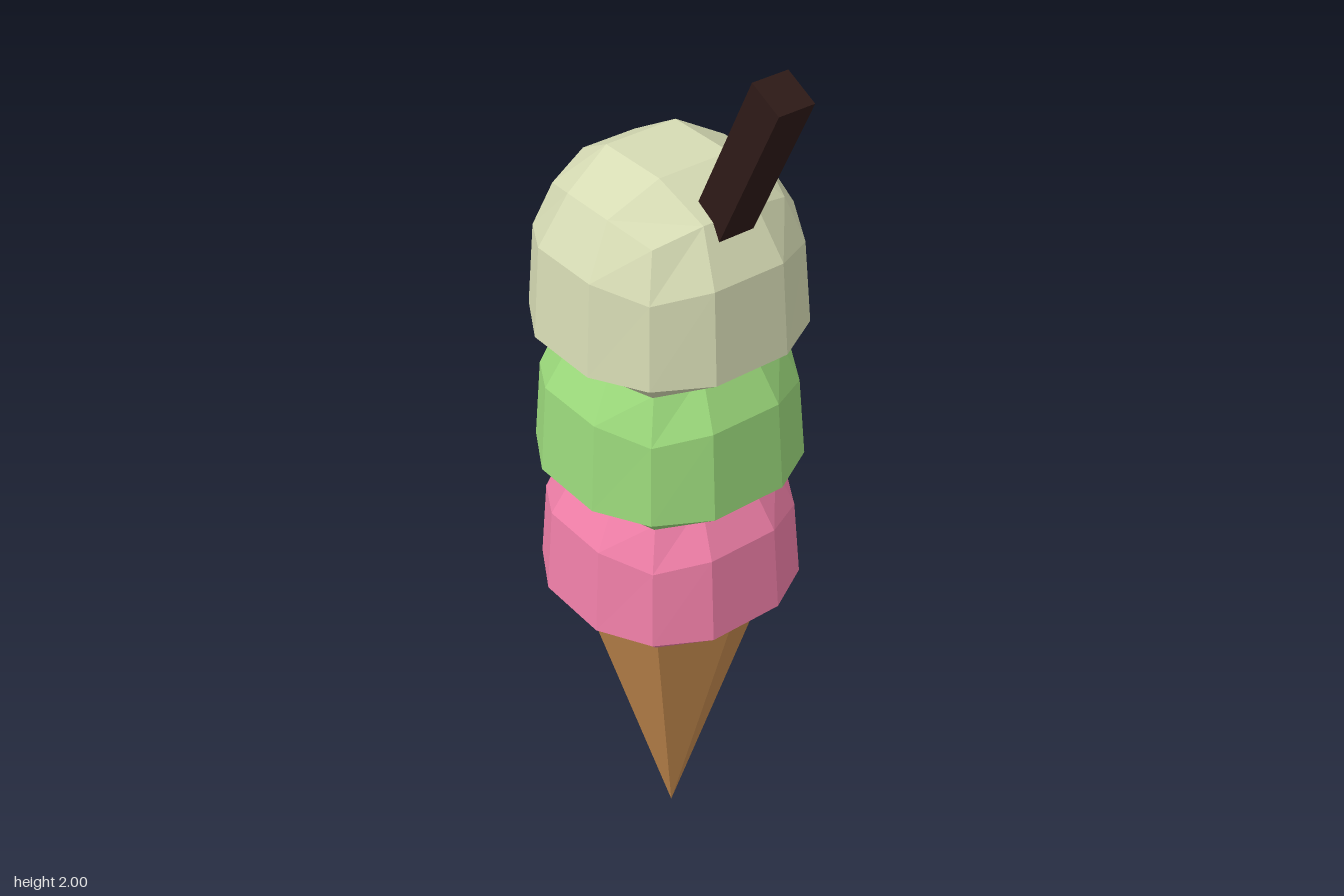
import * as THREE from 'three';

const AXIS_X = -0.05; // the cone and scoops sit slightly to one side
const RADIUS = 0.27;

function material(color) {
  return new THREE.MeshStandardMaterial({ color, flatShading: true });
}

// Scoop: a cube grid rounded to a ball, its lower half flared and cut flat
function scoopGeometry() {
  const geometry = new THREE.BoxGeometry(2, 2, 2, 3, 3, 3);
  const pos = geometry.attributes.position;
  const v = new THREE.Vector3();
  for (let i = 0; i < pos.count; i++) {
    v.fromBufferAttribute(pos, i);
    const level = v.y;
    v.normalize().multiplyScalar(RADIUS);
    if (level < 0) {
      v.x *= 1.06;
      v.z *= 1.06;
      v.y = level < -0.9 ? -0.16 : -0.116;
    }
    pos.setXYZ(i, v.x, v.y, v.z);
  }
  geometry.computeVertexNormals();
  return geometry;
}

export function createModel() {
  const group = new THREE.Group();
  const add = (name, geometry, color, x, y) => {
    const mesh = new THREE.Mesh(geometry, material(color));
    mesh.name = name;
    mesh.position.set(x, y, 0);
    group.add(mesh);
    return mesh;
  };

  // Eight-sided wafer cone, point down
  const cone = new THREE.ConeGeometry(0.212, 0.705, 8);
  cone.rotateX(Math.PI);
  add('waferCone', cone, 0xc48a4e, AXIS_X, 0.3525);

  // Three stacked scoops
  const scoop = scoopGeometry();
  [
    ['lowerScoop', 0xf07fa8, 0.859],
    ['middleScoop', 0x9bd97b, 1.175],
    ['upperScoop', 0xd6dbb4, 1.496],
  ].forEach(([name, color, y]) => add(name, scoop, color, AXIS_X, y));

  // Chocolate stick leaning out of the upper scoop
  const tilt = THREE.MathUtils.degToRad(26);
  const length = 0.45;
  const stick = add(
    'chocolateStick',
    new THREE.BoxGeometry(0.08, length, 0.08),
    0x2e1a17,
    0.272 - Math.sin(tilt) * length / 2,
    1.982 - Math.cos(tilt) * length / 2
  );
  stick.rotation.z = -tilt;

  return group;
}
